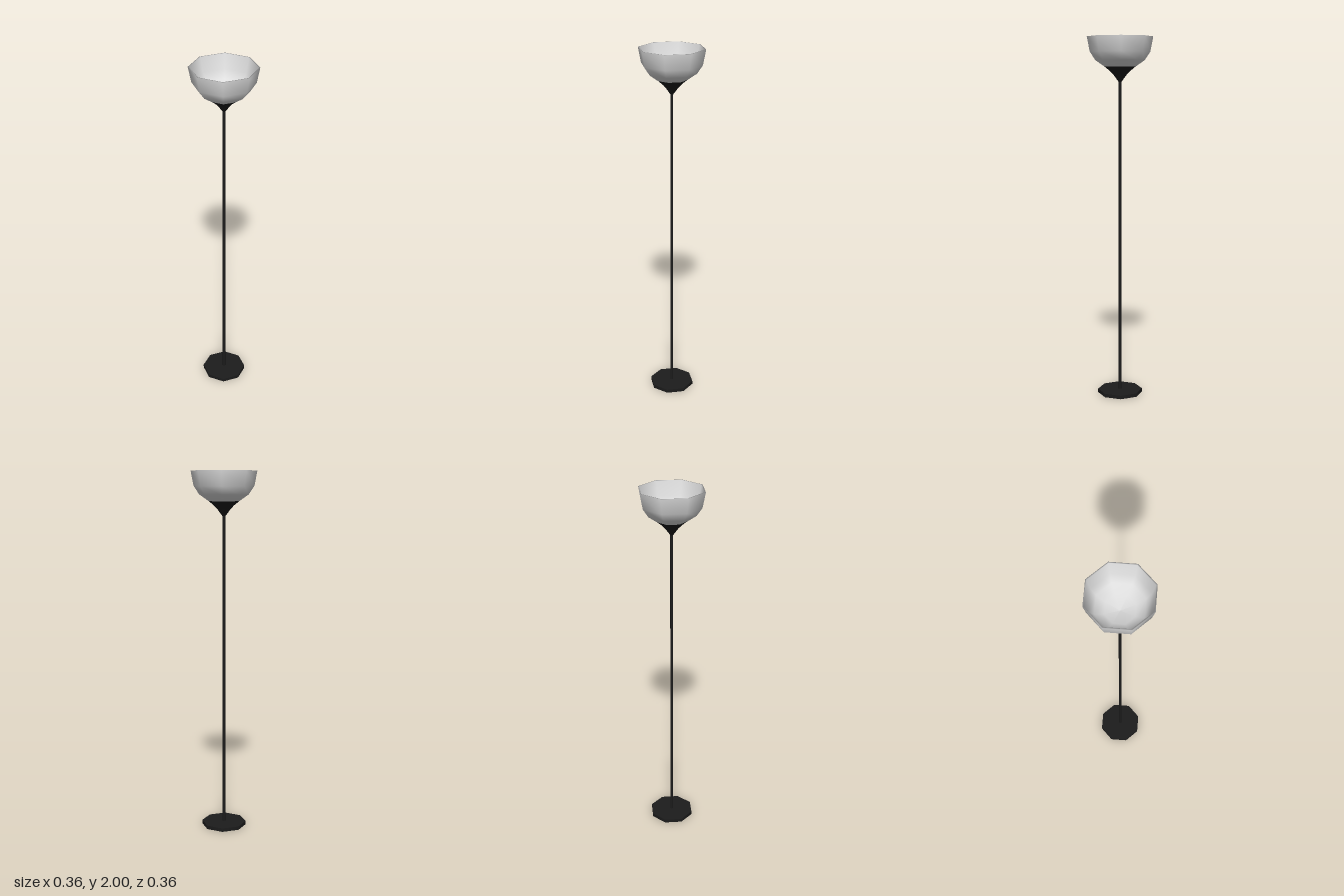
import * as THREE from 'three';

const SIDES = 8;

export function createModel() {
  const black = new THREE.MeshStandardMaterial({ color: 0x1c1c1c });
  black.name = 'black metal';
  const glass = new THREE.MeshStandardMaterial({ color: 0xdedede });
  glass.name = 'frosted white';

  const lamp = new THREE.Group();
  lamp.name = 'floorLamp';

  const add = (name, geometry, material, y = 0) => {
    const mesh = new THREE.Mesh(geometry, material);
    mesh.name = name;
    mesh.position.y = y;
    lamp.add(mesh);
  };
  const lathe = (profile) =>
    new THREE.LatheGeometry(profile.map(([r, y]) => new THREE.Vector2(r, y)), SIDES);

  // Flat foot and slim pole
  add('base', new THREE.CylinderGeometry(0.125, 0.125, 0.02, SIDES), black, 0.01);
  add('pole', new THREE.CylinderGeometry(0.008, 0.008, 1.76, SIDES, 1, true), black, 0.9);

  // Flared holder under the shade
  add('shadeHolder', lathe([
    [0.008, 1.757], [0.036, 1.795], [0.055, 1.815], [0.086, 1.84],
  ]), black);

  // Open bowl: outer wall, thin rim, then inner wall down to the floor
  add('shade', lathe([
    [0.084, 1.838], [0.134, 1.873], [0.164, 1.918], [0.18, 2],
    [0.173, 2], [0.157, 1.921], [0.128, 1.879], [0.08, 1.846], [0, 1.832],
  ]), glass);

  return lamp;
}
